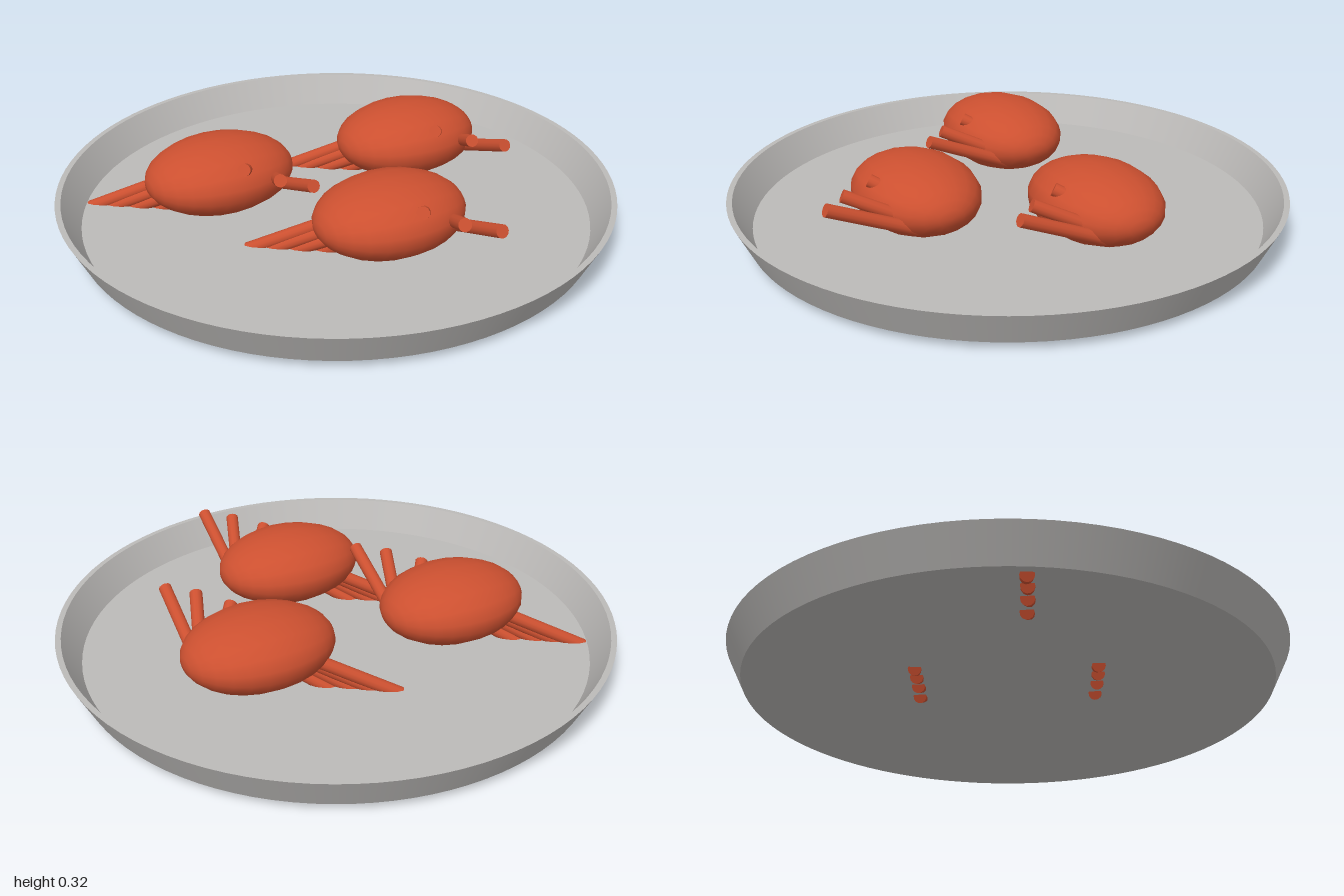
import * as THREE from 'three';

const trayGrey = new THREE.MeshStandardMaterial({ color: 0xbcbab8 });
trayGrey.name = 'trayGrey';
const shellRed = new THREE.MeshStandardMaterial({ color: 0xcc5030 });
shellRed.name = 'shellRed';

const UP = new THREE.Vector3(0, 1, 0);

// Revolved band between two [radius, height] points, keeping its edges sharp
function band(name, a, b) {
  const profile = [new THREE.Vector2(...a), new THREE.Vector2(...b)];
  const mesh = new THREE.Mesh(new THREE.LatheGeometry(profile, 96), trayGrey);
  mesh.name = name;
  return mesh;
}

// Straight round leg between two points
function leg(name, from, to) {
  const a = new THREE.Vector3(...from);
  const b = new THREE.Vector3(...to);
  const mesh = new THREE.Mesh(new THREE.CylinderGeometry(0.023, 0.023, a.distanceTo(b), 12), shellRed);
  mesh.name = name;
  mesh.position.copy(a).add(b).multiplyScalar(0.5);
  mesh.quaternion.setFromUnitVectors(UP, b.sub(a).normalize());
  return mesh;
}

function makeCrab() {
  const crab = new THREE.Group();

  // Oval shell, poles along x
  const shell = new THREE.SphereGeometry(1, 18, 14);
  shell.rotateZ(Math.PI / 2);
  shell.scale(0.275, 0.13, 0.216);
  const body = new THREE.Mesh(shell, shellRed);
  body.name = 'shell';
  body.position.y = 0.188;
  crab.add(body);

  // Raised front legs: tip x, tip z, inner x, inner z
  [
    [0.17, 0.4, 0.19, 0.08],
    [0.09, 0.31, 0.2, 0.03],
    [0.015, 0.18, 0.2, -0.05],
  ].forEach(([tx, tz, ix, iz]) => crab.add(leg('frontLeg', [tx, 0.27, tz], [ix, 0.135, iz])));

  // Lowered back legs, one behind another, feet just below the tray floor
  [
    [-0.405, -0.275, -0.13, -0.1],
    [-0.35, -0.235, -0.09, -0.05],
    [-0.285, -0.19, -0.05, 0.01],
    [-0.21, -0.14, 0, 0.05],
  ].forEach(([tx, tz, ix, iz]) => crab.add(leg('backLeg', [tx, 0.021, tz], [ix, 0.16, iz])));
  return crab;
}

export function createModel() {
  const model = new THREE.Group();

  // Shallow round tray with flared wall
  const tray = new THREE.Group();
  tray.name = 'tray';
  tray.add(
    band('trayUnderside', [0, 0.028], [0.94, 0.028]),
    band('trayOuterWall', [0.94, 0.028], [1, 0.15]),
    band('trayRim', [1, 0.15], [0.98, 0.15]),
    band('trayInnerWall', [0.98, 0.15], [0.918, 0.04]),
    band('trayFloor', [0.918, 0.04], [0, 0.04]),
  );
  model.add(tray);

  // Three crabs on the tray
  [[-0.375, -0.187], [0.375, -0.128], [0, 0.37]].forEach(([x, z]) => {
    const crab = makeCrab();
    crab.name = 'crab';
    crab.position.set(x, 0, z);
    model.add(crab);
  });
  return model;
}
